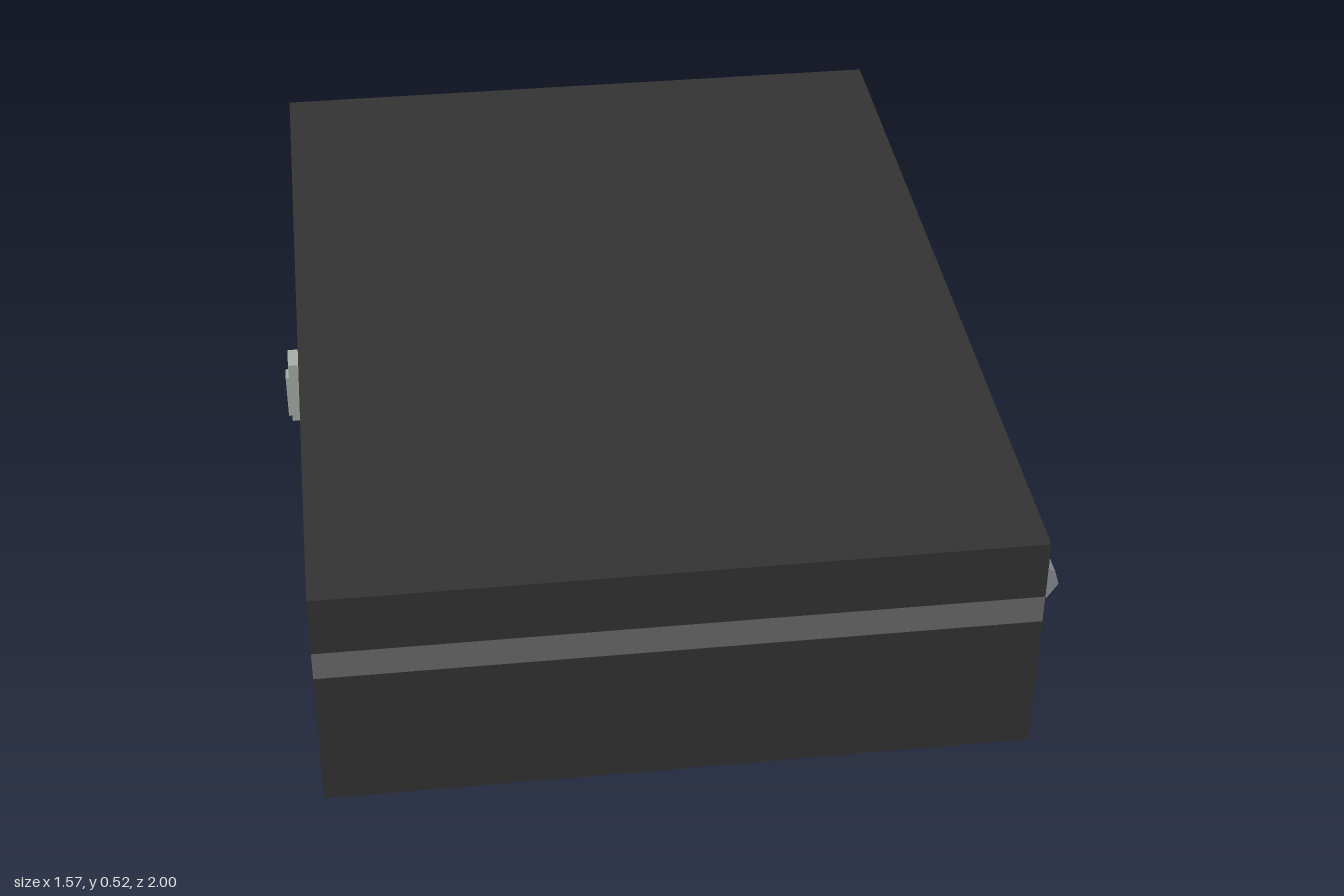
import * as THREE from 'three';

const material = (color) => new THREE.MeshStandardMaterial({ color, flatShading: true });

export function createModel() {
  const model = new THREE.Group();
  model.name = 'hingedCase';
  const dark = material(0x333333);
  const grey = material(0x6a6a6a);
  const steel = material(0x8a8d98);
  const pale = material(0xa3aea5);

  function add(name, geometry, mat) {
    const mesh = new THREE.Mesh(geometry, mat);
    mesh.name = name;
    model.add(mesh);
    return mesh;
  }

  // Box given by its limits on each axis
  function box(name, [x0, x1], [y0, y1], [z0, z1], mat) {
    const geometry = new THREE.BoxGeometry(x1 - x0, y1 - y0, z1 - z0);
    add(name, geometry, mat).position.set((x0 + x1) / 2, (y0 + y1) / 2, (z0 + z1) / 2);
  }

  // Case: base, flush seam band and lid
  const width = [-0.75, 0.73];
  const depth = [-1, 1];
  box('base', width, [0, 0.325], depth, dark);
  box('seamBand', width, [0.325, 0.39], depth, grey);
  box('lid', width, [0.39, 0.525], depth, dark);

  // Two faceted hinges on the left side
  const profile = new THREE.Shape([
    [0.73, 0.31], [0.763, 0.31], [0.785, 0.345], [0.775, 0.378], [0.745, 0.393], [0.73, 0.39],
  ].map(([x, y]) => new THREE.Vector2(x, y)));
  const hingeGeometry = new THREE.ExtrudeGeometry(profile, { depth: 0.23, bevelEnabled: false });
  hingeGeometry.translate(0, 0, -0.115);
  for (const [name, z] of [['frontHinge', 0.795], ['backHinge', -0.795]]) {
    add(name, hingeGeometry, steel).position.z = z;
  }

  // Latch on the right side: plate with a narrower raised tongue
  box('latchPlate', [-0.778, -0.75], [0.265, 0.418], [-0.032, 0.032], pale);
  box('latchTongue', [-0.786, -0.778], [0.27, 0.375], [-0.018, 0.018], pale);

  return model;
}
